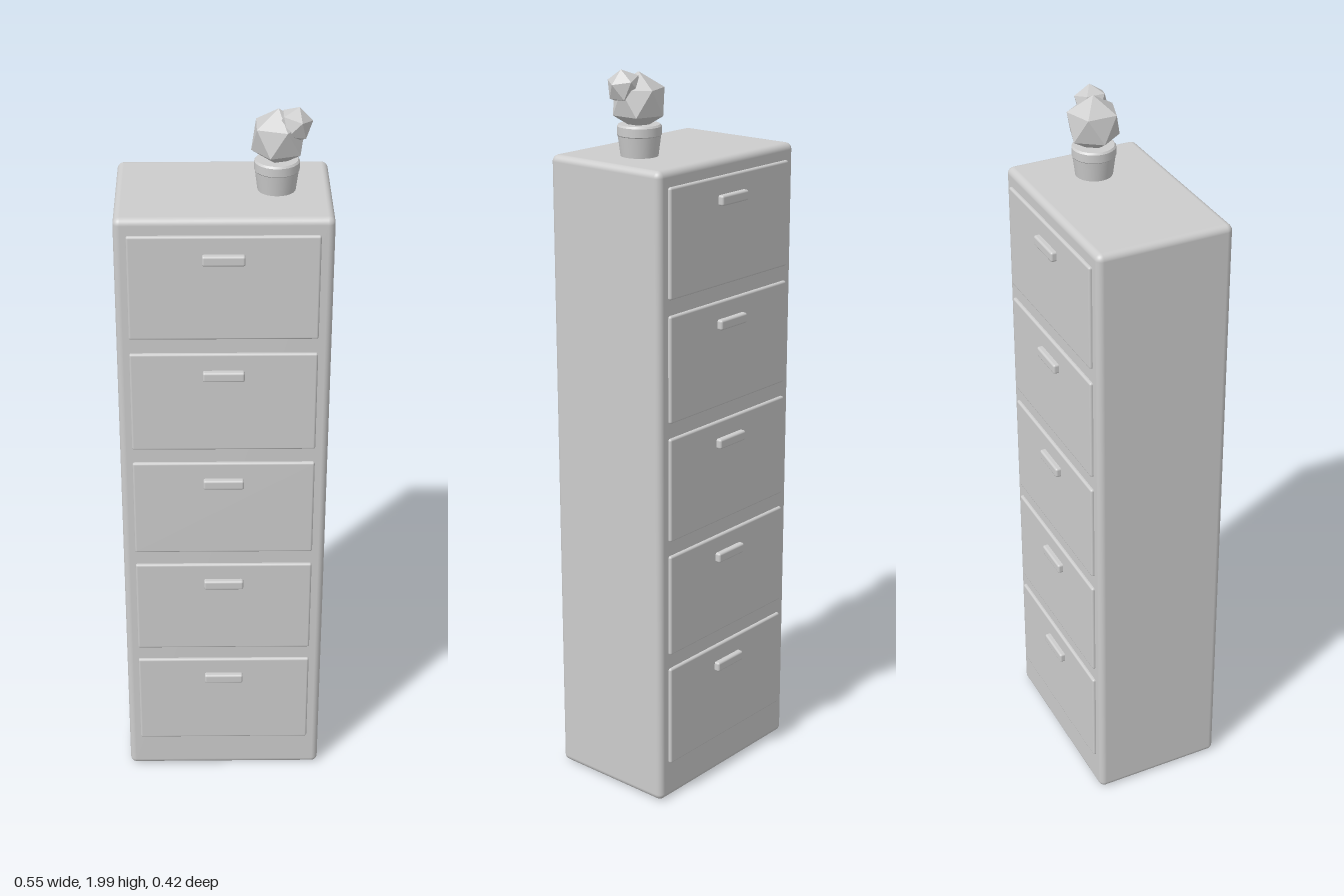
import * as THREE from 'three';
import { RoundedBoxGeometry } from 'three/addons/geometries/RoundedBoxGeometry.js';

const grey = new THREE.MeshStandardMaterial({ color: 0xcccccc });
grey.name = 'light grey';

function add(parent, name, geometry, x, y, z) {
  const mesh = new THREE.Mesh(geometry, grey);
  mesh.name = name;
  mesh.position.set(x, y, z);
  parent.add(mesh);
  return mesh;
}

// Faceted ball with one corner pointing straight up
function facetedBall(radius) {
  return new THREE.IcosahedronGeometry(radius, 0).rotateZ(-Math.atan(2 / (1 + Math.sqrt(5))));
}

export function createModel() {
  const model = new THREE.Group();
  model.name = 'filingCabinet';

  // Cabinet body with softly rounded edges
  add(model, 'cabinetBody', new RoundedBoxGeometry(0.554, 1.77, 0.375, 4, 0.018), 0, 0.89, -0.001);

  // Five drawers on the front, repeated on the back
  const panel = new RoundedBoxGeometry(0.487, 0.29, 0.024, 2, 0.006);
  const handle = new RoundedBoxGeometry(0.109, 0.028, 0.024, 3, 0.006);
  for (const side of [1, -1]) {
    for (let i = 0; i < 5; i++) {
      const drawer = new THREE.Group();
      drawer.name = side > 0 ? 'frontDrawer' : 'backDrawer';
      drawer.position.set(-0.001, 0.259 + i * 0.332, -0.001);
      add(drawer, 'drawerPanel', panel, 0, 0, side * 0.184);
      add(drawer, 'drawerHandle', handle, 0, 0.083, side * 0.199);
      model.add(drawer);
    }
  }

  // Potted cactus standing on top
  const plant = new THREE.Group();
  plant.name = 'pottedCactus';
  plant.position.set(0.136, 1.775, 0);
  add(plant, 'pot', new THREE.CylinderGeometry(0.057, 0.049, 0.06, 24), 0, 0.028, 0);
  add(plant, 'potRim', new THREE.CylinderGeometry(0.058, 0.058, 0.022, 24), 0, 0.066, 0);
  // Small bevels above and below the rim
  add(plant, 'rimTop', new THREE.CylinderGeometry(0.054, 0.058, 0.005, 24), 0, 0.0795, 0);
  add(plant, 'rimBottom', new THREE.CylinderGeometry(0.058, 0.054, 0.005, 24), 0, 0.0525, 0);
  add(plant, 'cactusBody', facetedBall(0.076), 0.002, 0.14, 0);
  const bud = add(plant, 'cactusBud', facetedBall(0.047), 0.042, 0.179, 0.014);
  bud.rotation.z = -0.25;
  model.add(plant);

  return model;
}
